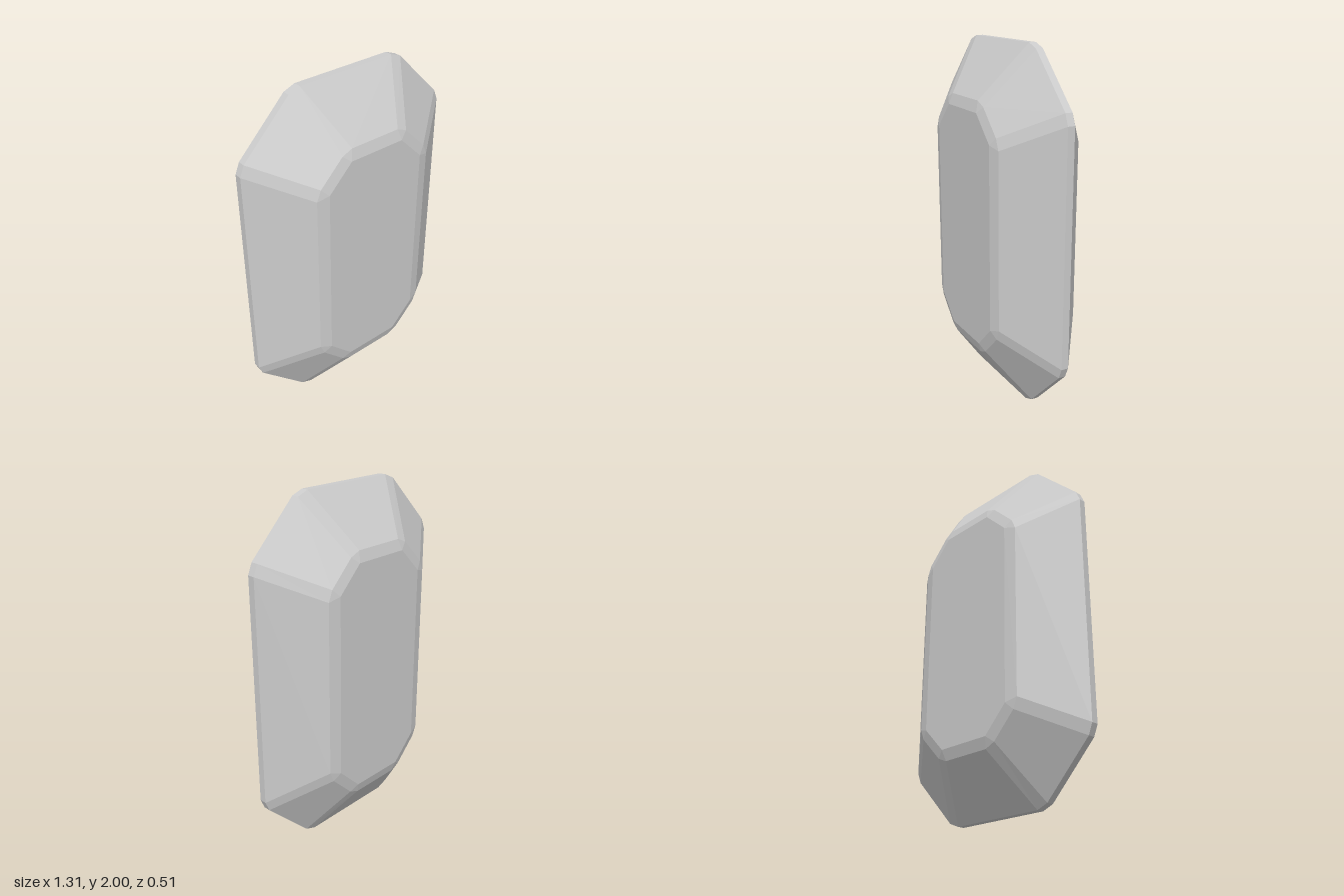
import * as THREE from 'three';

// Mirror one quadrant's corners into a closed counter-clockwise ring at depth z
function ring(corners, z) {
  const back = [...corners].reverse();
  return [
    ...corners.map(([x, y]) => [x, y]),
    ...back.map(([x, y]) => [-x, y]),
    ...corners.map(([x, y]) => [-x, -y]),
    ...back.map(([x, y]) => [x, -y]),
  ].map(([x, y]) => new THREE.Vector3(x, y + 1, z));
}

export function createModel() {
  const group = new THREE.Group();
  group.name = 'gem';

  // Cross-sections, one quadrant each, measured from the gem's centre
  const girdle = [[0.655, 0.64], [0.63, 0.7], [0.355, 0.975], [0.29, 1]];
  const shoulder = [[0.37, 0.49], [0.345, 0.55], [0.21, 0.685], [0.15, 0.71]];
  // Corners are doubled so the bevel closes in a triangle at each table corner
  const table = [[0.305, 0.51], [0.305, 0.51], [0.165, 0.65], [0.165, 0.65]];

  const rings = [
    ring(table, -0.255), ring(shoulder, -0.237), ring(girdle, -0.02),
    ring(girdle, 0.02), ring(shoulder, 0.237), ring(table, 0.255),
  ];

  const positions = [];
  const triangle = new THREE.Triangle();
  const addTriangle = (a, b, c) => {
    if (triangle.set(a, b, c).getArea() < 1e-7) return;
    for (const p of [a, b, c]) positions.push(p.x, p.y, p.z);
  };

  // Facets between neighbouring rings
  for (let r = 0; r < rings.length - 1; r++) {
    const a = rings[r], b = rings[r + 1];
    for (let i = 0; i < a.length; i++) {
      const j = (i + 1) % a.length;
      addTriangle(a[i], a[j], b[j]);
      addTriangle(a[i], b[j], b[i]);
    }
  }

  // Flat tables on the back and the front
  const backTable = rings[0], frontTable = rings[rings.length - 1];
  for (let i = 1; i < frontTable.length - 1; i++) {
    addTriangle(frontTable[0], frontTable[i], frontTable[i + 1]);
    addTriangle(backTable[0], backTable[i + 1], backTable[i]);
  }

  const geometry = new THREE.BufferGeometry();
  geometry.setAttribute('position', new THREE.Float32BufferAttribute(positions, 3));
  geometry.computeVertexNormals();

  const stone = new THREE.Mesh(
    geometry,
    new THREE.MeshStandardMaterial({ color: 0xcccccc, flatShading: true })
  );
  stone.name = 'cutStone';
  group.add(stone);
  return group;
}
